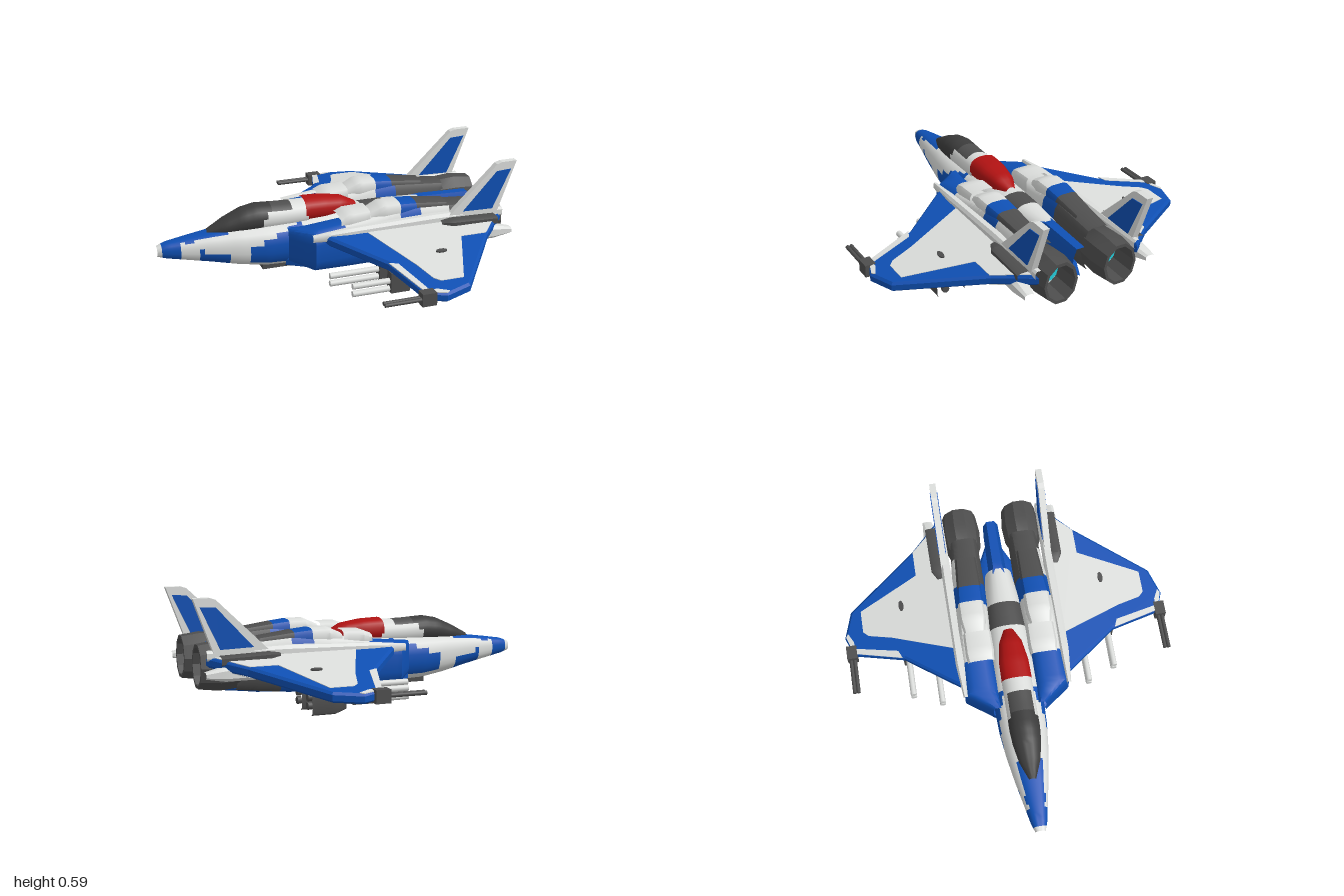
import * as THREE from 'three';
import { toCreasedNormals } from 'three/addons/utils/BufferGeometryUtils.js';

const flat = (name, color) => Object.assign(new THREE.MeshStandardMaterial({ color }), { name });
const white = flat('hullWhite', 0xdcdedc);
const blue = flat('trimBlue', 0x0f50b4);
const dark = flat('gunmetal', 0x4e4e4e);
const glass = flat('canopyGlass', 0x3c3c3c);
const red = flat('capRed', 0xb01212);
const cyan = flat('engineGlow', 0x22ccdc);

export function createModel() {
  const model = new THREE.Group();
  model.name = 'starfighter';

  function add(name, geometry, material) {
    const mesh = new THREE.Mesh(geometry, material);
    mesh.name = name;
    model.add(mesh);
    return mesh;
  }

  // Skin rounded sections [x, zCentre, halfWidth, yLow, yHigh] along x.
  // "square" below 1 makes the section boxier; paint(x, y, z) picks the colour.
  function loft(name, sections, paint, { sides = 24, square = 1 } = {}) {
    const rows = [sections[0]];
    for (let i = 1; i < sections.length; i++) {
      const a = sections[i - 1], b = sections[i];
      const steps = Math.max(1, Math.ceil((b[0] - a[0]) / 0.03));
      for (let k = 1; k <= steps; k++) rows.push(a.map((v, n) => v + (b[n] - v) * k / steps));
    }
    const pos = [], byColour = new Map();
    const bend = v => Math.sign(v) * Math.abs(v) ** square;
    for (const [x, zc, hw, lo, hi] of rows) {
      for (let j = 0; j < sides; j++) {
        const t = (j + 0.5) / sides * Math.PI * 2;
        pos.push(x, (lo + hi) / 2 + (hi - lo) / 2 * bend(Math.sin(t)), zc + hw * bend(Math.cos(t)));
      }
    }
    const face = (...ids) => {
      const mid = [0, 1, 2].map(k => ids.reduce((s, v) => s + pos[v * 3 + k], 0) / ids.length);
      const m = paint(...mid);
      if (!byColour.has(m)) byColour.set(m, []);
      for (let k = 2; k < ids.length; k++) byColour.get(m).push(ids[0], ids[k - 1], ids[k]);
    };
    for (let i = 0; i < rows.length - 1; i++) {
      for (let j = 0; j < sides; j++) {
        const a = i * sides + j, d = i * sides + (j + 1) % sides;
        face(a, a + sides, d + sides, d);
      }
    }
    const ring = [...Array(sides).keys()];
    face(...ring.slice().reverse());
    face(...ring.map(j => j + (rows.length - 1) * sides));

    const geometry = new THREE.BufferGeometry();
    geometry.setAttribute('position', new THREE.Float32BufferAttribute(pos, 3));
    const index = [], materials = [...byColour.keys()];
    materials.forEach((m, n) => {
      geometry.addGroup(index.length, byColour.get(m).length, n);
      index.push(...byColour.get(m));
    });
    geometry.setIndex(index);
    return add(name, toCreasedNormals(geometry, 0.6), materials);
  }

  const box = (name, m, x0, x1, y0, y1, z0, z1) =>
    add(name, new THREE.BoxGeometry(x1 - x0, y1 - y0, Math.abs(z1 - z0))
      .translate((x0 + x1) / 2, (y0 + y1) / 2, (z0 + z1) / 2), m);

  const rod = (name, m, x0, x1, y, z, r) =>
    add(name, new THREE.CylinderGeometry(r, r, x1 - x0, 10).rotateZ(Math.PI / 2)
      .translate((x0 + x1) / 2, y, z), m);

  // Horizontal plate from [x, z] outline, drooping towards the wingtip
  function wingPlate(name, m, outline, s, y, depth, bevel = 0) {
    const shape = new THREE.Shape(outline.map(([x, z]) => new THREE.Vector2(x, -z * s)));
    const g = new THREE.ExtrudeGeometry(shape, {
      depth, bevelEnabled: bevel > 0, bevelSize: bevel, bevelThickness: bevel, bevelOffset: -bevel, bevelSegments: 1,
    }).rotateX(-Math.PI / 2);
    const p = g.attributes.position;
    for (let i = 0; i < p.count; i++) p.setY(i, p.getY(i) + y - 0.19 * (Math.abs(p.getZ(i)) - 0.3));
    g.computeVertexNormals();
    add(name, g, m);
  }

  // Upright plate from [x, y] outline
  function finPlate(name, m, outline, z, depth) {
    const shape = new THREE.Shape(outline.map(p => new THREE.Vector2(...p)));
    add(name, new THREE.ExtrudeGeometry(shape, { depth, bevelEnabled: false }).translate(0, 0, z - depth / 2), m);
  }

  // Fuselage with painted nose and side patches
  loft('fuselage', [
    [-1, 0, 0.028, 0.175, 0.232], [-0.95, 0, 0.045, 0.16, 0.25], [-0.85, 0, 0.065, 0.14, 0.265],
    [-0.7, 0, 0.095, 0.11, 0.285], [-0.55, 0, 0.12, 0.075, 0.3], [-0.4, 0, 0.137, 0.05, 0.305],
    [-0.25, 0, 0.142, 0.045, 0.31], [0, 0, 0.13, 0.045, 0.33], [0.3, 0, 0.11, 0.045, 0.335], [0.54, 0, 0.08, 0.045, 0.33],
  ], (x, y, z) => {
    if (x < -0.985) return white;
    if (x < -0.88) return blue;
    if (x < -0.62 && y > 0.25 && Math.abs(z) < 0.05 + (x + 0.88) * 0.08) return blue;
    if (x > -0.78 && x < -0.6 && y < 0.21 - (x + 0.78) * 0.3) return blue;
    if (x > -0.5 && x < -0.2 && y > 0.1 && y < 0.19 + (x + 0.5) * 0.4) return blue;
    if (x > -0.2 && y < 0.22) return blue;
    return x > 0.17 && x < 0.33 ? dark : white;
  }, { square: 0.8 });

  loft('canopy', [
    [-0.72, 0, 0.02, 0.26, 0.295], [-0.62, 0, 0.06, 0.25, 0.35], [-0.52, 0, 0.08, 0.25, 0.395],
    [-0.44, 0, 0.086, 0.25, 0.41], [-0.3, 0, 0.085, 0.25, 0.402], [-0.15, 0, 0.085, 0.25, 0.4],
  ], (x, y, z) => x < -0.4 + (y - 0.33) * 0.6 ? glass : x < -0.25 && Math.abs(z) < 0.065 ? dark : white);

  loft('dorsalCap', [
    [-0.165, 0, 0.086, 0.28, 0.412], [-0.05, 0, 0.084, 0.28, 0.408], [0.07, 0, 0.065, 0.28, 0.39], [0.15, 0, 0.03, 0.28, 0.35],
  ], () => red, { sides: 16, square: 0.8 });

  loft('tailBoom', [
    [0.5, 0, 0.07, 0.045, 0.33], [0.56, 0, 0.052, 0.045, 0.34], [0.85, 0, 0.046, 0.08, 0.33],
  ], () => blue, { sides: 8, square: 0.7 });

  loft('belly', [
    [-0.3, 0, 0.12, 0.05, 0.12], [-0.15, 0, 0.27, 0.06, 0.14], [0.3, 0, 0.26, 0.05, 0.14],
    [0.6, 0, 0.14, 0.045, 0.13], [0.8, 0, 0.04, 0.06, 0.13],
  ], () => blue, { sides: 12, square: 0.6 });

  box('chinSensor', dark, -0.42, -0.26, 0.035, 0.075, -0.07, 0.07);

  const wing = [[-0.13, 0.28], [-0.12, 0.32], [0.11, 0.61], [0.2, 0.9], [0.31, 0.94], [0.46, 0.89], [0.76, 0.48], [0.93, 0.3]];
  const panel = [[0.1, 0.31], [0.25, 0.67], [0.29, 0.8], [0.32, 0.83], [0.45, 0.83], [0.6, 0.48], [0.75, 0.48], [0.9, 0.31]];
  const edge = [[0.112, 0.62], [0.2, 0.897], [0.31, 0.933], [0.33, 0.92], [0.27, 0.89], [0.23, 0.89], [0.16, 0.64]];

  for (const s of [1, -1]) {
    // Intake and engine nacelle
    loft('nacelle', [
      [-0.29, 0.125 * s, 0.025, 0.1, 0.29], [-0.18, 0.2 * s, 0.1, 0.07, 0.305], [0, 0.2 * s, 0.095, 0.065, 0.325],
      [0.3, 0.19 * s, 0.095, 0.06, 0.37], [0.45, 0.185 * s, 0.095, 0.06, 0.375], [0.75, 0.175 * s, 0.082, 0.09, 0.35],
    ], (x, y, z) => {
      if (x > 0.62) return dark;
      if (y < 0.2) return x > 0.5 ? dark : blue;
      if (x < 0 || (x > 0.33 && x < 0.44)) return blue;
      return x > 0.44 && Math.abs(z) < 0.24 ? dark : white;
    }, { sides: 16, square: 0.55 });

    loft('frontDorsalBlock', [
      [-0.02, 0.18 * s, 0.075, 0.27, 0.36], [0.03, 0.18 * s, 0.082, 0.27, 0.38], [0.15, 0.18 * s, 0.08, 0.27, 0.385],
    ], () => white, { sides: 12, square: 0.5 });
    loft('rearDorsalBlock', [
      [0.155, 0.19 * s, 0.06, 0.29, 0.37], [0.23, 0.19 * s, 0.075, 0.29, 0.405], [0.33, 0.19 * s, 0.075, 0.29, 0.405],
      [0.43, 0.185 * s, 0.07, 0.29, 0.395], [0.62, 0.18 * s, 0.06, 0.29, 0.37],
    ], x => x < 0.33 ? white : x < 0.44 ? blue : dark, { sides: 12, square: 0.55 });

    // Hollow exhaust nozzle with glowing core
    const nozzle = new THREE.LatheGeometry(
      [[0.07, 0.66], [0.105, 0.74], [0.112, 0.84], [0.1, 0.95], [0.085, 0.95], [0.08, 0.8], [0, 0.8]]
        .map(p => new THREE.Vector2(...p)), 10)
      .rotateZ(-Math.PI / 2).scale(1, 1.22, 1).translate(0, 0.225, 0.18 * s);
    add('nozzle', toCreasedNormals(nozzle, 0.5), dark);
    const disc = (name, m, r, x, z) =>
      add(name, new THREE.CircleGeometry(r, 10).rotateY(Math.PI / 2).scale(1, 1.2, 1).translate(x, 0.225, z), m);
    disc('coreRim', white, 0.074, 0.805, 0.18 * s);
    disc('core', cyan, 0.06, 0.81, 0.18 * s - 0.013);

    // Wing with inset panels above and below
    wingPlate('wing', blue, wing, s, 0.25, 0.03, 0.012);
    wingPlate('upperWingPanel', white, panel, s, 0.291, 0.004);
    wingPlate('lowerWingPanel', white, panel, s, 0.235, 0.004);
    wingPlate('wingTipEdge', white, edge, s, 0.29, 0.005);
    add('hardpointCap', new THREE.CylinderGeometry(0.032, 0.032, 0.008, 12).scale(1, 1, 0.45)
      .rotateX(0.19 * s).translate(0.43, 0.244, 0.59 * s), dark);

    // Wing root strake, tail slab and trailing pod
    loft('wingRootStrake', [
      [-0.2, 0.295 * s, 0.012, 0.26, 0.3], [0, 0.3 * s, 0.026, 0.25, 0.32], [0.5, 0.3 * s, 0.03, 0.25, 0.335], [0.93, 0.3 * s, 0.022, 0.27, 0.325],
    ], () => white, { sides: 8, square: 0.7 });
    loft('tailSlab', [
      [0.54, 0.32 * s, 0.035, 0.26, 0.3], [0.6, 0.335 * s, 0.052, 0.25, 0.31], [0.87, 0.34 * s, 0.05, 0.25, 0.3],
    ], () => dark, { sides: 8, square: 0.5 });
    loft('tailPod', [
      [0.42, 0.35 * s, 0.02, 0.18, 0.24], [0.6, 0.355 * s, 0.045, 0.17, 0.25], [0.85, 0.36 * s, 0.045, 0.17, 0.25], [0.955, 0.37 * s, 0.028, 0.19, 0.225],
    ], () => white, { sides: 8, square: 0.7 });

    // Tail fin with blue panel on both faces
    finPlate('tailFin', white, [[0.6, 0.32], [0.88, 0.59], [0.91, 0.6], [1, 0.6], [0.89, 0.3]], 0.307 * s, 0.036);
    finPlate('tailFinPanel', blue, [[0.68, 0.335], [0.88, 0.55], [0.965, 0.555], [0.86, 0.33]], 0.307 * s, 0.044);

    // Wingtip gun
    box('wingtipGunMount', dark, 0.17, 0.25, 0.115, 0.185, 0.88 * s, 0.94 * s);
    for (const dz of [-0.011, 0.011]) rod('wingtipGunBarrel', dark, -0.03, 0.18, 0.15, (0.91 + dz) * s, 0.011);

    // Underwing launchers, each with a pylon and stacked barrels
    for (const [z, x] of [[0.43, -0.15], [0.59, -0.08]]) {
      loft('launcher', [
        [0.28, z * s, 0.034, 0.03, 0.13], [0.34, z * s, 0.046, 0.01, 0.15], [0.47, z * s, 0.046, 0.01, 0.155],
      ], () => dark, { sides: 12, square: 0.35 });
      box('pylon', dark, 0.3, 0.44, 0.13, 0.235, (z - 0.018) * s, (z + 0.018) * s);
      box('barrelClamp', dark, 0.13, 0.24, 0.05, 0.165, (z - 0.03) * s, (z + 0.03) * s);
      for (const y of [0.068, 0.112]) {
        rod('barrel', white, x, 0.3, y, z * s, 0.017);
        rod('launcherPort', dark, 0.46, 0.482, y - 0.01, z * s, 0.02);
      }
    }
  }
  return model;
}
